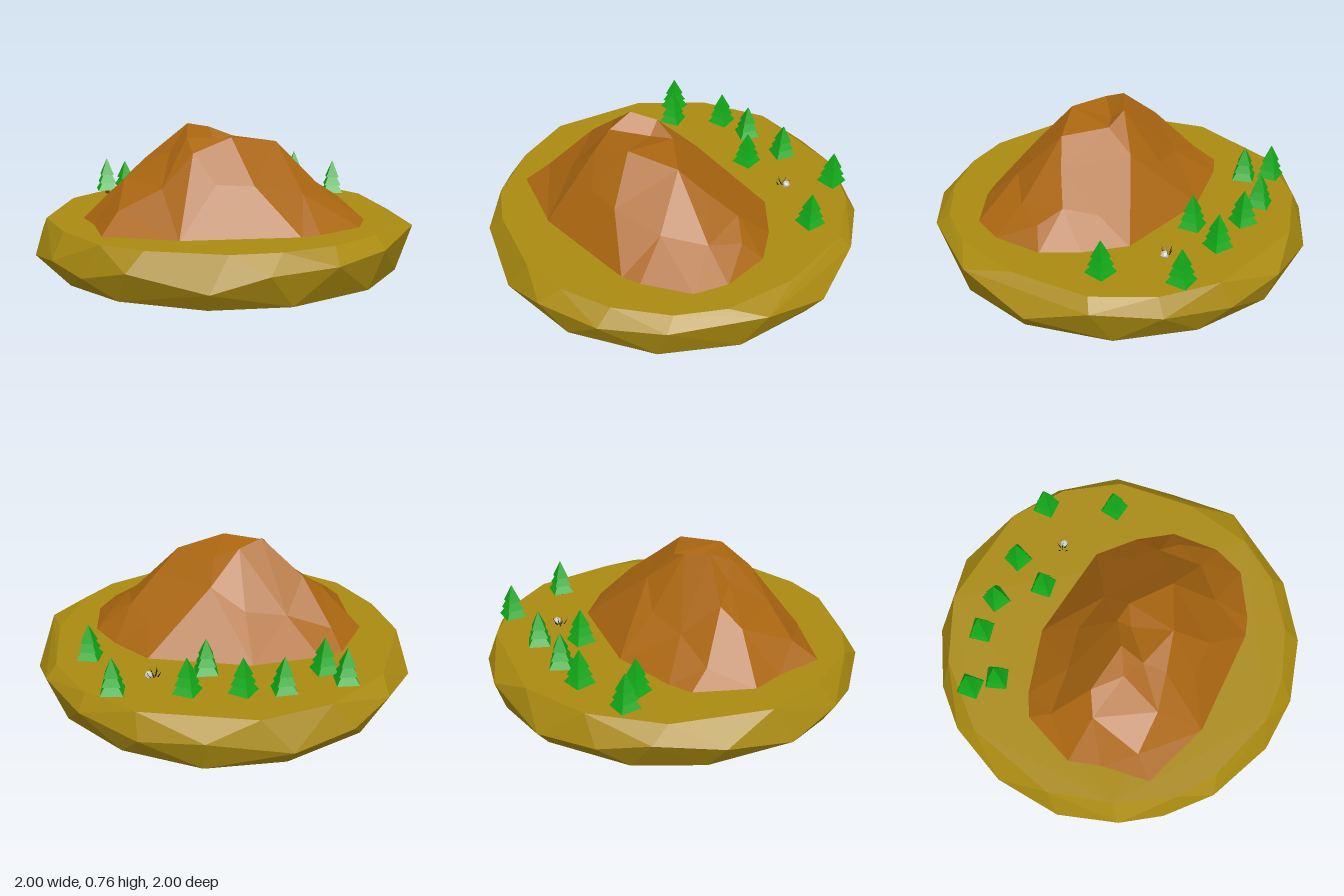
import * as THREE from 'three';
import { ConvexGeometry } from 'three/addons/geometries/ConvexGeometry.js';

const mat = (color) => new THREE.MeshStandardMaterial({ color, flatShading: true });
const EARTH = mat(0xa98a10), ROCK = mat(0xaa6610), LEAF = mat(0x12a818);
const TRUNK = mat(0x6b3a12), TWIG = mat(0x1c2410), STONE = mat(0xcccccc);
const GROUND = 0.26;

function add(parent, name, geometry, material, x = 0, y = 0, z = 0) {
  const mesh = new THREE.Mesh(geometry, material);
  mesh.name = name;
  mesh.position.set(x, y, z);
  parent.add(mesh);
  return mesh;
}

// Faceted disc: widest ring of [x, y, z] between a flat top and a flat bottom ring
function islandGeometry() {
  const rim = [
    [-1, .08, .1], [-.97, .14, -.26], [-.82, .18, -.58], [-.63, .12, -.78], [-.33, .09, -.95], [.09, .17, -1],
    [.41, .13, -.91], [.71, .17, -.71], [.91, .2, -.42], [1, .1, -.1], [.97, .22, .29], [.7, .2, .71],
    [.42, .18, .91], [.08, .17, 1], [-.2, .09, .98], [-.57, .16, .82], [-.77, .09, .62], [-.91, .13, .42],
  ];
  const top = [
    [-.94, .02], [-.8, -.48], [-.52, -.78], [-.17, -.93], [.42, -.85], [.68, -.66], [.86, -.38], [.9, .05],
    [.82, .42], [.67, .64], [.42, .82], [.15, .91], [-.1, .92], [-.48, .79], [-.68, .65], [-.85, .35],
  ];
  const base = [
    [-.9, .12], [-.86, -.3], [-.68, -.62], [-.3, -.88], [.1, -.94], [.5, -.78], [.8, -.48],
    [.93, -.05], [.86, .36], [.62, .7], [.2, .92], [-.2, .92], [-.6, .72], [-.82, .42],
  ];
  return new ConvexGeometry([
    ...rim.map((p) => new THREE.Vector3(...p)),
    ...top.map(([x, z]) => new THREE.Vector3(x, GROUND, z)),
    ...base.map(([x, z]) => new THREE.Vector3(x, 0, z)),
  ]);
}

// Delaunay triangulation in plan: keep triples whose circumcircle holds no other point
function terrainGeometry(points) {
  const index = [], n = points.length;
  for (let i = 0; i < n; i++) for (let j = i + 1; j < n; j++) for (let k = j + 1; k < n; k++) {
    const [ax, , az] = points[i];
    const bx = points[j][0] - ax, bz = points[j][2] - az;
    const cx = points[k][0] - ax, cz = points[k][2] - az;
    const d = 2 * (bx * cz - bz * cx);
    if (Math.abs(d) < 1e-6) continue;
    const b2 = bx * bx + bz * bz, c2 = cx * cx + cz * cz;
    const ux = (cz * b2 - bz * c2) / d, uz = (bx * c2 - cx * b2) / d;
    const r2 = ux * ux + uz * uz - 1e-9;
    const empty = points.every(([x, , z], m) => m === i || m === j || m === k ||
      (x - ax - ux) ** 2 + (z - az - uz) ** 2 >= r2);
    if (empty) index.push(i, ...(d < 0 ? [j, k] : [k, j]));
  }
  const g = new THREE.BufferGeometry();
  g.setAttribute('position', new THREE.Float32BufferAttribute(points.flat(), 3));
  g.setIndex(index);
  const flat = g.toNonIndexed();
  flat.computeVertexNormals();
  return flat;
}

function mountainGeometry() {
  // Foot outline [x, z]
  const foot = [
    [-.75, .05], [-.62, -.25], [-.5, -.31], [-.15, -.4], [.4, -.32], [.58, -.15], [.7, .03],
    [.71, .3], [.64, .47], [.4, .61], [.3, .64], [-.3, .63], [-.67, .49], [-.7, .22],
  ];
  // Summits, front ridge, then flanks [x, y, z]
  const crags = [
    [-.2, .76, .11], [-.08, .73, .03], [-.06, .67, .1], [.05, .68, .04], [0, .71, .31], [.25, .67, .2],
    [-.22, .7, .24], [-.2, .64, .36], [-.42, .57, .04], [-.53, .48, .1], [-.3, .62, .17],
    [-.1, .5, .48], [.09, .49, .49], [.35, .43, .42], [-.36, .47, .39], [-.58, .36, .38],
    [.37, .55, .12], [.5, .42, .02], [.53, .38, .26], [.61, .35, .1],
    [.07, .57, -.11], [-.11, .46, -.18], [.4, .38, -.13], [-.57, .34, -.13], [-.33, .42, -.14],
  ];
  return terrainGeometry([...foot.map(([x, z]) => [x, GROUND - .005, z]), ...crags]);
}

// Three stacked square pyramids on a short trunk
function makeTree(x, z, turn) {
  const tree = new THREE.Group();
  tree.name = 'tree';
  tree.position.set(x, GROUND, z);
  tree.rotation.y = turn;
  add(tree, 'trunk', new THREE.CylinderGeometry(.012, .012, .05, 6), TRUNK, 0, .02, 0);
  [[.08, .1, .025], [.065, .1, .068], [.05, .095, .113]].forEach(([r, h, y]) => {
    const tier = add(tree, 'foliage', new THREE.ConeGeometry(r, h, 4), LEAF, 0, y + h / 2, 0);
    tier.rotation.y = Math.PI / 4;
  });
  return tree;
}

// Dry twigs around a small stone
function makeTwigs() {
  const patch = new THREE.Group();
  patch.name = 'twigPatch';
  patch.position.set(.35, GROUND, -.51);
  for (let i = 0; i < 7; i++) {
    const a = i * 2.4, r = .012 + .004 * i;
    const twig = add(patch, 'twig', new THREE.ConeGeometry(.004, .04, 4), TWIG,
      Math.cos(a) * r, .017, Math.sin(a) * r);
    twig.rotation.set(Math.sin(a) * .5, 0, -Math.cos(a) * .5);
  }
  add(patch, 'stone', new THREE.IcosahedronGeometry(.022, 0), STONE, .028, .01, 0);
  return patch;
}

export function createModel() {
  const model = new THREE.Group();
  model.name = 'mountainIsland';
  add(model, 'island', islandGeometry(), EARTH);
  add(model, 'mountain', mountainGeometry(), ROCK);
  [
    [-.6, -.6, .08], [-.5, -.49, .35], [-.29, -.69, .2], [-.09, -.7, -.5],
    [.18, -.7, -.4], [.54, -.7, 0], [.69, -.34, -.15], [.09, -.5, .1],
  ].forEach((t) => model.add(makeTree(...t)));
  model.add(makeTwigs());
  return model;
}
